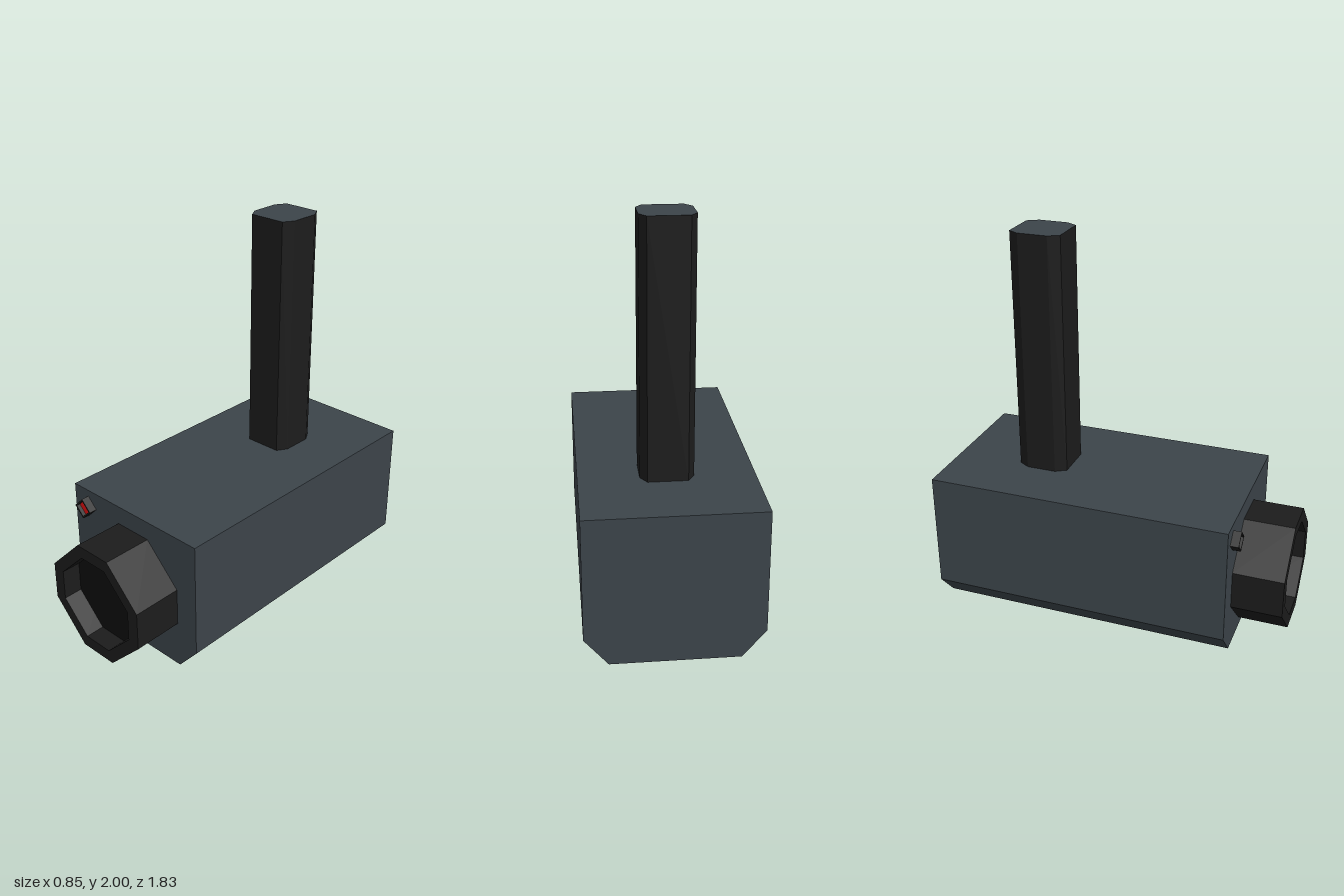
import * as THREE from 'three';

const mat = (color) => new THREE.MeshStandardMaterial({ color, flatShading: true });

// Chamfered square outline: half sizes w, h with flats reaching fw, fh
const octagon = (w, h, fw, fh) => [
  [fw, -h], [w, -fh], [w, fh], [fw, h], [-fw, h], [-w, fh], [-w, -fh], [-fw, -h],
];
const diamond = (r) => [[0, -r], [r, 0], [0, r], [-r, 0]];
const toPoints = (pts) => pts.map(([x, y]) => new THREE.Vector2(x, y));

function extrude(outline, depth, hole) {
  const shape = new THREE.Shape(toPoints(outline));
  if (hole) shape.holes.push(new THREE.Path(toPoints(hole)));
  return new THREE.ExtrudeGeometry(shape, { depth, bevelEnabled: false });
}

export function createModel() {
  const group = new THREE.Group();
  const shell = mat(0x3c444a), black = mat(0x1c1c1c), glass = mat(0x0e0e0e), red = mat(0xdc1010);

  const add = (name, geometry, material, x, y, z, parent = group) => {
    const mesh = new THREE.Mesh(geometry, material);
    mesh.name = name;
    mesh.position.set(x, y, z);
    parent.add(mesh);
    return mesh;
  };
  const addGroup = (name) => {
    const g = new THREE.Group();
    g.name = name;
    group.add(g);
    return g;
  };

  // Housing with chamfered lower edges
  const profile = [[-0.31, 0], [0.31, 0], [0.425, 0.135], [0.425, 0.747], [-0.425, 0.747], [-0.425, 0.135]];
  add('housing', extrude(profile, 1.57), shell, 0, 0, -0.915);

  // Lens barrel with a recessed glass
  const lens = addGroup('lens');
  const inner = octagon(0.235, 0.235, 0.08, 0.08);
  add('lensBarrel', extrude(octagon(0.3, 0.298, 0.104, 0.1), 0.26, inner), black, 0, 0.35, 0.655, lens);
  add('lensGlass', new THREE.ShapeGeometry(new THREE.Shape(toPoints(inner))), glass, 0, 0.35, 0.815, lens);

  // Indicator lamp in a diamond frame
  const lamp = addGroup('indicatorLamp');
  add('lampFrame', extrude(diamond(0.056), 0.042, diamond(0.045)), black, -0.325, 0.656, 0.655, lamp);
  add('lampLight', new THREE.ShapeGeometry(new THREE.Shape(toPoints(diamond(0.045)))), red, -0.325, 0.656, 0.677, lamp);

  // Mounting pole, its end caps in the housing colour
  const pole = add('mountingPole', extrude(octagon(0.13, 0.132, 0.097, 0.077), 1.253), [shell, black], 0, 0.747, -0.432);
  pole.rotation.x = -Math.PI / 2;

  return group;
}
